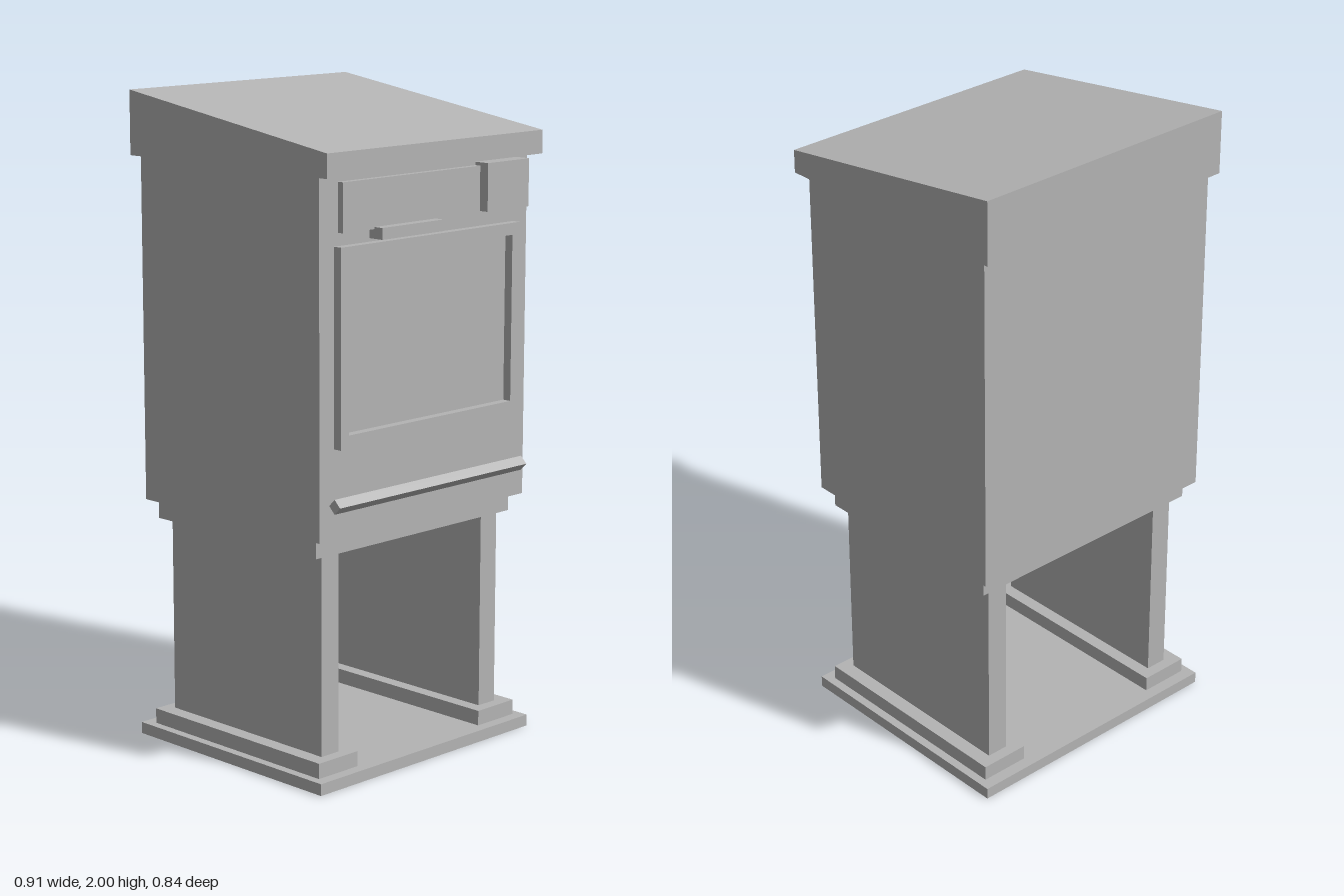
import * as THREE from 'three';

export function createModel() {
  const model = new THREE.Group();
  model.name = 'stove';
  const grey = new THREE.MeshStandardMaterial({ color: 0xb4b4b4 });
  grey.name = 'grey';

  const add = (name, geometry) => {
    const mesh = new THREE.Mesh(geometry, grey);
    mesh.name = name;
    model.add(mesh);
    return mesh;
  };
  // Box given by its extents on each axis
  const block = (name, [x0, x1], [y0, y1], [z0, z1]) =>
    add(name, new THREE.BoxGeometry(x1 - x0, y1 - y0, z1 - z0))
      .position.set((x0 + x1) / 2, (y0 + y1) / 2, (z0 + z1) / 2);

  // Floor plate, feet and side panels
  block('basePlate', [-0.453, 0.453], [0, 0.036], [-0.408, 0.39]);
  for (const [side, s] of [['left', 1], ['right', -1]]) {
    const span = (a, b) => (s > 0 ? [a, b] : [-b, -a]);
    block(side + 'Foot', span(0.266, 0.426), [0.036, 0.083], [-0.37, 0.354]);
    block(side + 'LegPanel', span(0.308, 0.379), [0.083, 0.695], [-0.334, 0.317]);
  }

  // Collar and firebox body
  block('collar', [-0.416, 0.416], [0.695, 0.752], [-0.354, 0.333]);
  block('body', [-0.438, 0.438], [0.752, 1.805], [-0.388, 0.37]);

  // Sloping lid, side profile drawn in (z, y) and extruded across x
  const profile = new THREE.Shape([
    new THREE.Vector2(-0.417, 1.805), new THREE.Vector2(0.418, 1.805),
    new THREE.Vector2(0.418, 2), new THREE.Vector2(-0.417, 1.876),
  ]);
  const lid = new THREE.ExtrudeGeometry(profile, { depth: 0.906, bevelEnabled: false });
  lid.translate(0, 0, -0.453).rotateY(Math.PI / 2);
  add('slopingLid', lid);

  // Door frame with an opening down to the body face
  const rect = (Type, x0, x1, y0, y1) => new Type([
    new THREE.Vector2(x0, y0), new THREE.Vector2(x1, y0),
    new THREE.Vector2(x1, y1), new THREE.Vector2(x0, y1),
  ]);
  const frame = rect(THREE.Shape, -0.379, 0.377, 1.02, 1.604);
  frame.holes.push(rect(THREE.Path, -0.348, 0.345, 1.06, 1.568));
  add('doorFrame', new THREE.ExtrudeGeometry(frame, { depth: 0.028, bevelEnabled: false }))
    .position.z = 0.37;

  // Upper panel, its handle and the control box
  block('upperPanel', [-0.364, 0.36], [1.642, 1.786], [0.365, 0.39]);
  block('panelHandle', [-0.237, 0.017], [1.614, 1.648], [0.37, 0.421]);
  block('controlBox', [0.207, 0.389], [1.652, 1.796], [0.37, 0.421]);

  // Diamond-section rail across the front
  const rail = new THREE.CylinderGeometry(0.022, 0.022, 0.804, 4).toNonIndexed();
  rail.computeVertexNormals();
  rail.rotateZ(Math.PI / 2);
  add('frontRail', rail).position.set(0, 0.858, 0.395);

  return model;
}
